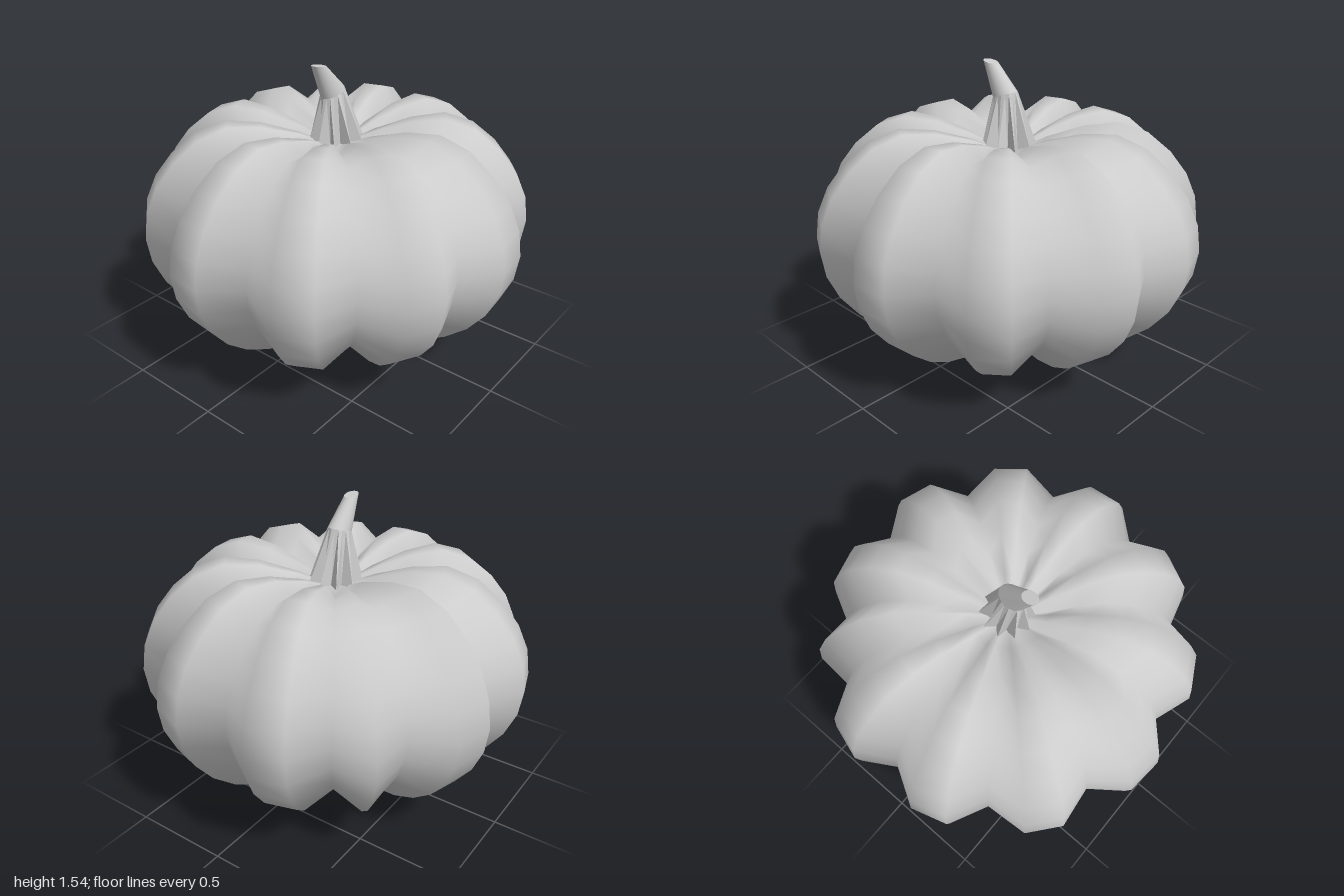
import * as THREE from 'three';
import { mergeVertices } from 'three/addons/utils/BufferGeometryUtils.js';

const SEG = 32, RINGS = 16;

// Grooves fall on every third meridian; one lobe is a segment narrower.
const isGroove = k => k === 0 || k === 3 || (k >= 5 && k % 3 === 2);

function bodyGeometry() {
  let geo = new THREE.SphereGeometry(1, SEG, RINGS);
  geo.deleteAttribute('uv');
  geo.deleteAttribute('normal');
  const p = geo.attributes.position;
  const crown = [1.09, 1.175, 1.232, 1.25]; // sunken heights around the stem
  for (let i = 0; i < p.count; i++) {
    const ring = Math.floor(i / (SEG + 1));
    const pole = ring === 0 || ring === RINGS;
    const k = (Math.round(Math.atan2(p.getX(i), -p.getZ(i)) / (2 * Math.PI) * SEG) + SEG) % SEG;
    const groove = !pole && isGroove(k);
    const phi = ring / RINGS * Math.PI, a = k / SEG * 2 * Math.PI;
    const r = pole ? 0 : 1.01 * Math.sin(phi) * (groove ? 0.87 : 1);
    let y = ring < crown.length ? crown[ring] : 0.7 + 0.7 * Math.cos(phi);
    if (ring === RINGS) y = 0.07;
    if (groove) y = 0.7 + (y - 0.7) * 0.86;
    p.setXYZ(i, 0.01 + r * Math.sin(a), y, -0.01 - r * Math.cos(a));
  }
  geo = mergeVertices(geo, 1e-5);
  geo.computeVertexNormals();
  return geo;
}

// Joins rings of points (bottom to top) with quads.
function loft(rings, capTop) {
  const n = rings[0].length, pos = [], idx = [];
  rings.forEach(r => r.forEach(v => pos.push(v.x, v.y, v.z)));
  for (let j = 0; j + 1 < rings.length; j++) {
    for (let i = 0; i < n; i++) {
      const a = j * n + i, b = j * n + (i + 1) % n;
      idx.push(a, a + n, b, b, a + n, b + n);
    }
  }
  if (capTop) {
    const base = pos.length / 3;
    rings[rings.length - 1].forEach(v => pos.push(v.x, v.y, v.z));
    for (let i = 1; i + 1 < n; i++) idx.push(base, base + i + 1, base + i);
  }
  const geo = new THREE.BufferGeometry();
  geo.setAttribute('position', new THREE.Float32BufferAttribute(pos, 3));
  geo.setIndex(idx);
  geo.computeVertexNormals();
  return geo;
}

// Ring of 20 points; inner < 1 makes a ten-pointed star, tilt slopes it along x.
function stemRing(cx, cy, rx, rz, tilt, inner = 1) {
  return Array.from({ length: 20 }, (_, i) => {
    const a = i / 20 * 2 * Math.PI, s = i % 2 ? inner : 1;
    const c = Math.cos(a) * s;
    return new THREE.Vector3(cx + rx * c, cy + tilt * c, -0.012 + rz * Math.sin(a) * s);
  });
}

export function createModel() {
  const group = new THREE.Group();
  const add = (name, geo, options = {}) => {
    const mesh = new THREE.Mesh(geo, new THREE.MeshStandardMaterial({ color: 0xcccccc, ...options }));
    mesh.name = name;
    group.add(mesh);
  };

  // Ribbed body
  add('body', bodyGeometry());

  // Fluted stem base flaring into the crown, then a round bent tip
  const bend = stemRing(-0.02, 1.39, 0.07, 0.055, 0.022);
  const flare = stemRing(0.012, 1.13, 0.145, 0.14, 0, 0.58);
  add('stemBase', loft([flare, bend]), { flatShading: true, side: THREE.DoubleSide });
  const tip = stemRing(-0.122, 1.543, 0.043, 0.033, -0.007);
  add('stemTip', loft([bend, tip], true), { side: THREE.DoubleSide });

  return group;
}
